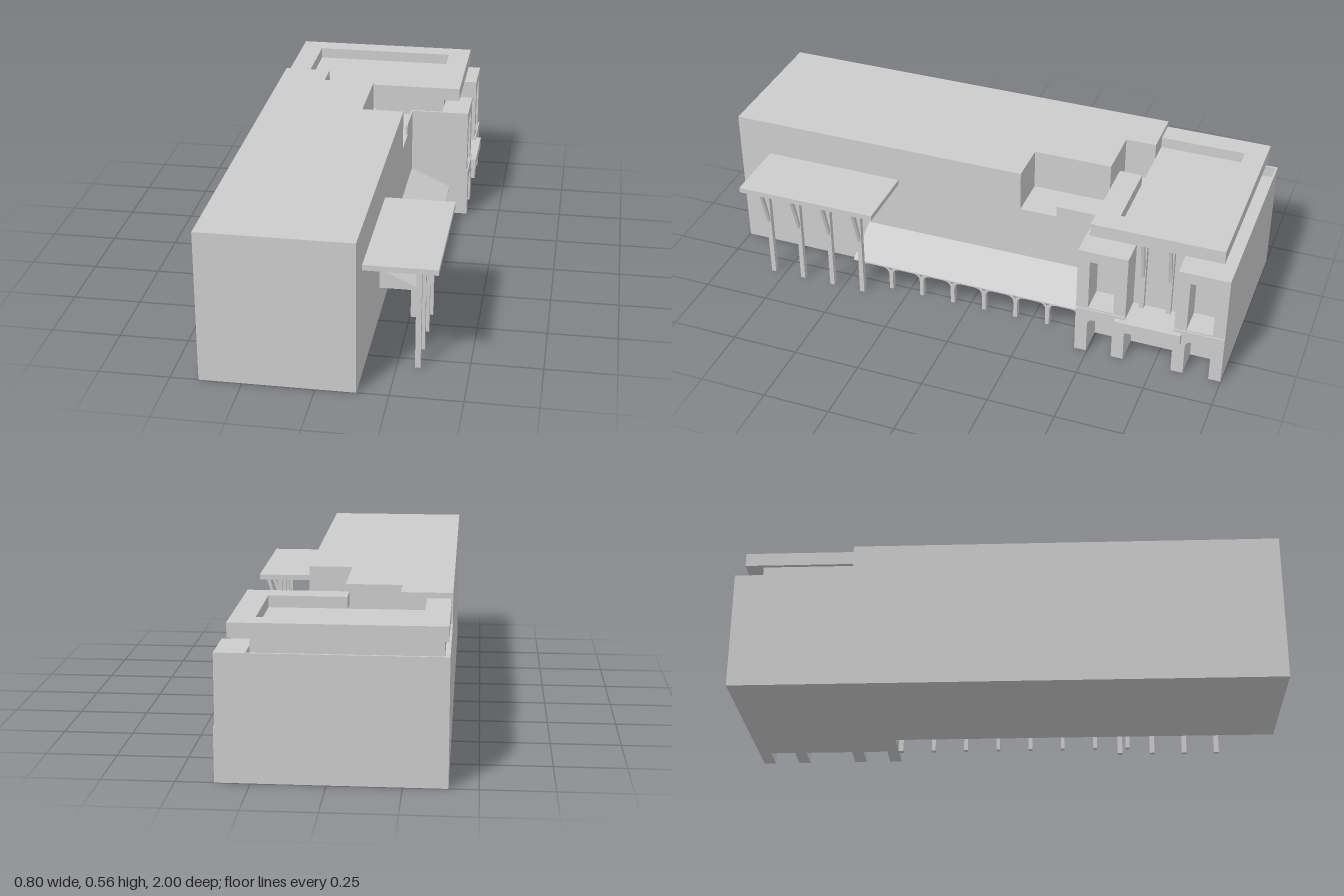
import * as THREE from 'three';

const material = new THREE.MeshStandardMaterial({ color: 0xcccccc, flatShading: true });

export function createModel() {
  const model = new THREE.Group();

  const add = (name, geometry) => {
    const mesh = new THREE.Mesh(geometry, material);
    mesh.name = name;
    model.add(mesh);
    return mesh;
  };
  // box given by its limits on each axis
  const box = (name, x0, x1, y0, y1, z0, z1) =>
    add(name, new THREE.BoxGeometry(x1 - x0, y1 - y0, z1 - z0)
      .translate((x0 + x1) / 2, (y0 + y1) / 2, (z0 + z1) / 2));
  const polygon = pts => new THREE.Shape(pts.map(p => new THREE.Vector2(...p)));
  // (x, y) outline extruded from z0 to z1
  const alongZ = (name, pts, z0, z1) =>
    add(name, new THREE.ExtrudeGeometry(polygon(pts), { depth: z1 - z0, bevelEnabled: false })
      .translate(0, 0, z0));
  // (-z, y) outline extruded from x0 to x1
  const alongX = (name, shape, x0, x1) =>
    add(name, new THREE.ExtrudeGeometry(shape, { depth: x1 - x0, bevelEnabled: false, curveSegments: 5 })
      .rotateY(Math.PI / 2).translate(x0, 0, 0));
  // wall outline whose openings, with rounded heads, reach the ground
  const archedWall = (u0, u1, top, openings, head, radius) => {
    const s = new THREE.Shape();
    s.moveTo(u0, 0);
    for (const [a, b] of openings) {
      s.lineTo(a, 0);
      s.lineTo(a, head - radius);
      s.quadraticCurveTo(a, head, a + radius, head);
      s.lineTo(b - radius, head);
      s.quadraticCurveTo(b, head, b, head - radius);
      s.lineTo(b, 0);
    }
    s.lineTo(u1, 0);
    s.lineTo(u1, top);
    s.lineTo(u0, top);
    s.closePath();
    return s;
  };

  // main hall, stepping back around the terrace
  box('mainHall', -0.4, 0.14, 0, 0.555, -0.155, 1);
  box('mainHallTerraceSide', -0.4, -0.02, 0, 0.555, -0.45, -0.155);
  box('mainHallRearStep', -0.4, -0.22, 0, 0.555, -0.565, -0.45);
  box('terrace', -0.02, 0.14, 0, 0.4, -0.45, -0.155);
  box('terraceParapet', 0.132, 0.14, 0.4, 0.443, -0.45, -0.295);

  // rear wing with its thin parapet
  box('rearWing', -0.22, 0.26, 0, 0.4, -0.565, -0.45);
  box('rearWingBack', -0.4, 0.26, 0, 0.4, -1, -0.565);
  box('backParapet', -0.4, 0.365, 0.4, 0.443, -1, -0.992);
  box('sideParapet', -0.4, -0.392, 0.4, 0.443, -0.992, -0.565);
  box('frontParapet', 0.14, 0.26, 0.4, 0.443, -0.458, -0.45);

  // two portals with an arched doorway below a tall window
  for (const u of [0.45, 0.815]) {
    const u1 = u + 0.185, a = u + 0.045, b = u + 0.14;
    alongX('portalBase', archedWall(u, u1, 0.19, [[a, b]], 0.145, 0.025), 0.26, 0.37);
    const upper = polygon([[u, 0.19], [u1, 0.19], [u1, 0.443], [u, 0.443]]);
    upper.holes.push(new THREE.Path(
      [[a, 0.195], [a, 0.4], [b, 0.4], [b, 0.195]].map(p => new THREE.Vector2(...p))));
    alongX('portalWindowWall', upper, 0.26, 0.365);
  }
  box('balcony', 0.26, 0.39, 0.138, 0.18, -0.845, -0.6);

  // raised roof: neck, plate and rim around the sunken middle
  box('roofNeck', -0.38, 0.26, 0.4, 0.487, -0.9, -0.565);
  box('roofNeckFront', -0.02, 0.26, 0.4, 0.487, -0.565, -0.52);
  box('roofPlate', -0.395, 0.325, 0.485, 0.493, -0.965, -0.565);
  box('roofRimBack', -0.395, 0.325, 0.493, 0.535, -0.965, -0.885);
  box('roofRimLeft', 0.24, 0.325, 0.493, 0.535, -0.885, -0.565);
  box('roofRimRight', -0.395, -0.31, 0.493, 0.535, -0.885, -0.565);
  box('roofRimFront', -0.035, 0.325, 0.485, 0.535, -0.565, -0.48);

  // balcony columns with raking struts
  for (const z of [-0.67, -0.77]) {
    box('balconyColumn', 0.262, 0.281, 0.18, 0.487, z - 0.009, z + 0.009);
    alongZ('balconyStrut', [[0.281, 0.32], [0.317, 0.487], [0.302, 0.487], [0.281, 0.36]], z - 0.006, z + 0.006);
  }

  // entrance canopy on four posts
  box('canopy', 0.14, 0.395, 0.395, 0.415, 0.335, 0.875);
  for (let i = 0; i < 4; i++) {
    const z = 0.42 + i * 0.126;
    box('canopyPost', 0.313, 0.332, 0, 0.395, z - 0.009, z + 0.009);
    alongZ('canopyStrut', [[0.332, 0.235], [0.382, 0.395], [0.367, 0.395], [0.332, 0.262]], z - 0.006, z + 0.006);
  }

  // lean-to arcade
  alongZ('arcadeRoof', [[0.14, 0.115], [0.297, 0.115], [0.297, 0.119], [0.14, 0.19]], -0.45, 0.465);
  const openings = [];
  for (let i = 0; i < 7; i++) {
    const u = -0.445 + i * 0.1265;
    openings.push([u + 0.005, u + 0.117]);
  }
  alongX('arcadeWall', archedWall(-0.455, 0.45, 0.116, openings, 0.095, 0.03), 0.253, 0.275);
  for (let i = 0; i < 8; i++) {
    const z = 0.447 - i * 0.1265;
    alongZ('arcadeBracket', [[0.275, 0.09], [0.291, 0.116], [0.283, 0.116], [0.275, 0.104]], z - 0.005, z + 0.005);
  }

  return model;
}
